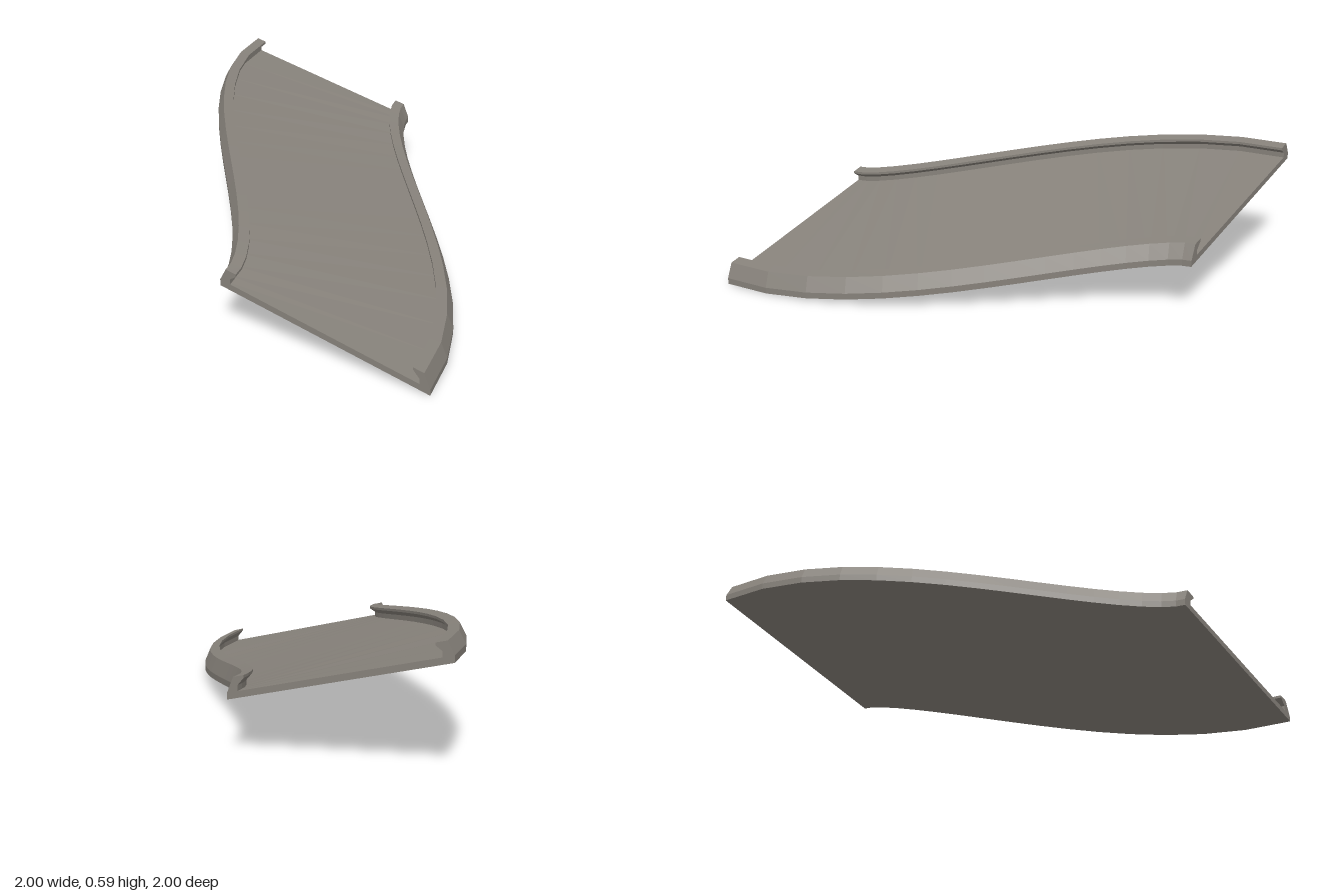
import * as THREE from 'three';

const STEPS = 16;
const BANK = -0.25; // sideways slope of the track

// S-shaped centre line, falling from back left to front right
const path = new THREE.CubicBezierCurve3(
  new THREE.Vector3(-0.5, 0.375, -1),
  new THREE.Vector3(-0.5, 0.375, -1 / 3),
  new THREE.Vector3(0.5, 0.125, 1 / 3),
  new THREE.Vector3(0.5, 0.125, 1)
);

// Sweep a closed counter-clockwise profile of [side, height] points along the path
function sweep(profile) {
  const n = profile.length;
  const positions = [];
  const index = [];
  for (let i = 0; i <= STEPS; i++) {
    const c = path.getPointAt(i / STEPS);
    const t = path.getTangentAt(i / STEPS);
    const len = Math.hypot(t.x, t.z);
    for (const [s, h] of profile) {
      positions.push(c.x + (s * t.z) / len, c.y + s * BANK + h, c.z - (s * t.x) / len);
    }
  }
  for (let i = 0; i < STEPS; i++) {
    for (let j = 0; j < n; j++) {
      const a = i * n + j;
      const b = i * n + ((j + 1) % n);
      index.push(a, b, b + n, a, b + n, a + n);
    }
  }
  // end caps
  const contour = profile.map(([s, h]) => new THREE.Vector2(s, h));
  const last = STEPS * n;
  for (const [a, b, c] of THREE.ShapeUtils.triangulateShape(contour, [])) {
    index.push(a + last, b + last, c + last, c, b, a);
  }
  const geometry = new THREE.BufferGeometry();
  geometry.setAttribute('position', new THREE.Float32BufferAttribute(positions, 3));
  geometry.setIndex(index);
  const flat = geometry.toNonIndexed();
  flat.computeVertexNormals();
  return flat;
}

export function createModel() {
  const group = new THREE.Group();
  group.name = 'curvedTrack';
  const stone = new THREE.MeshStandardMaterial({ color: 0x86817a });
  stone.name = 'warm grey';

  const add = (name, profile) => {
    const mesh = new THREE.Mesh(sweep(profile), stone);
    mesh.name = name;
    group.add(mesh);
  };

  // thin banked floor
  add('floor', [[-0.5, 0], [0.5, 0], [0.5, 0.03], [-0.5, 0.03]]);

  // kerbs leaning inward with an undercut lip
  const kerb = [[0, 0.03], [0.05, 0.03], [0.05, 0.055], [0.08, 0.083], [0.08, 0.095], [0.03, 0.095]];
  add('rightKerb', kerb.map(([d, h]) => [d - 0.5, h]));
  add('leftKerb', kerb.map(([d, h]) => [0.5 - d, h]).reverse());

  return group;
}
